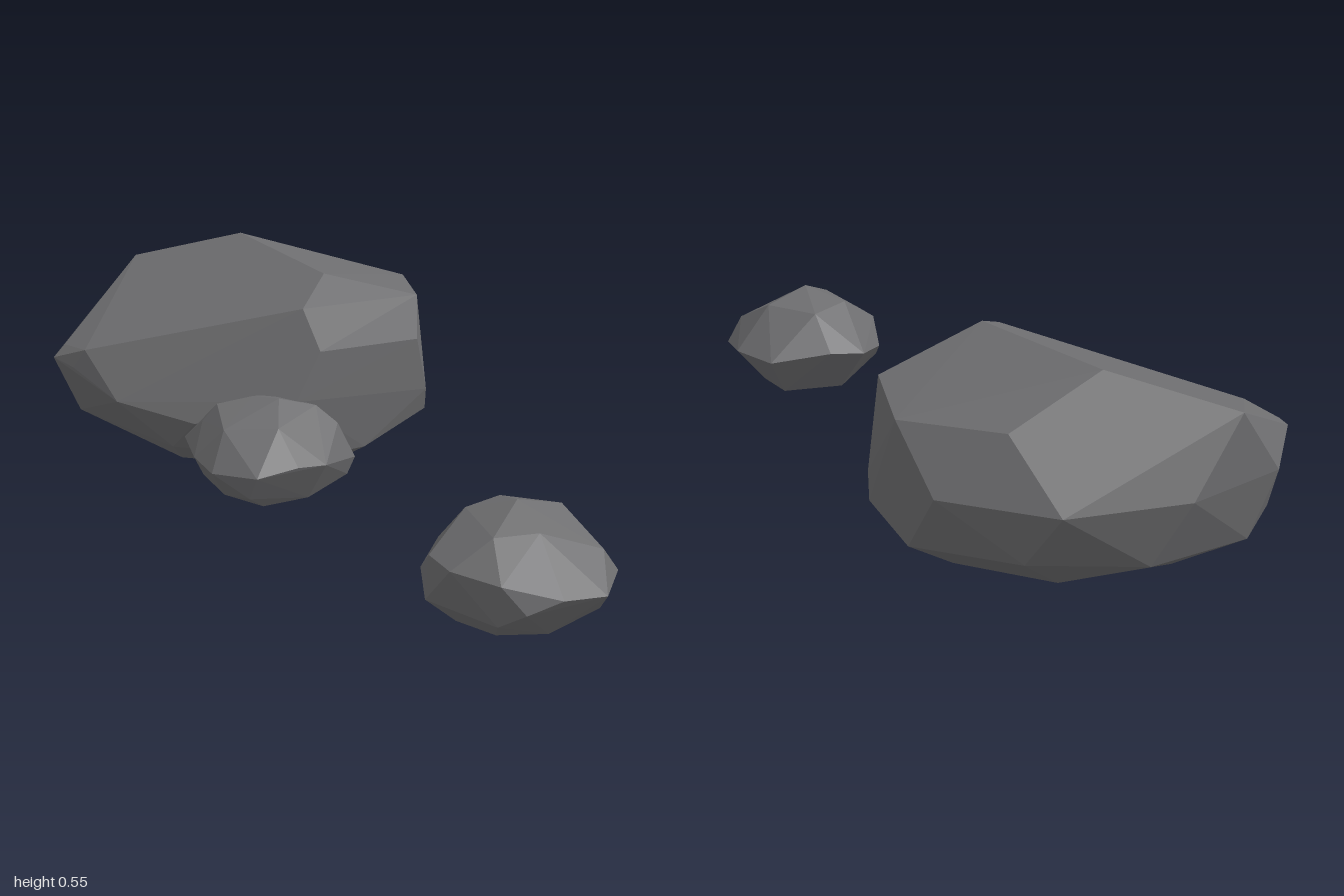
import * as THREE from 'three';
import { ConvexGeometry } from 'three/addons/geometries/ConvexGeometry.js';

const stone = new THREE.MeshStandardMaterial({ color: 0x6e6e70 });
stone.name = 'grey stone';

// A faceted rock: the convex hull of its corner points, kept flat shaded.
function rock(name, corners) {
  const geometry = new ConvexGeometry(corners.map((c) => new THREE.Vector3(...c)));
  const mesh = new THREE.Mesh(geometry, stone);
  mesh.name = name;
  return mesh;
}

export function createModel() {
  const group = new THREE.Group();
  group.name = 'rocks';

  group.add(rock('largeBoulder', [
    // sloping top
    [-0.82, 0.46, -0.71], [-0.48, 0.55, -0.72], [-0.11, 0.545, -0.33],
    [-0.12, 0.49, -0.14], [-0.78, 0.317, -0.145], [-0.88, 0.3, -0.24],
    // upper shoulders
    [-0.05, 0.39, -0.07], [0.12, 0.445, -0.53], [0.01, 0.425, -0.82], [-0.28, 0.43, -0.89],
    // widest ring
    [-0.1, 0.26, 0], [-0.4, 0.17, 0], [-0.65, 0.2, -0.05], [-0.82, 0.26, -0.15],
    [-0.9, 0.27, -0.2], [-0.9, 0.27, -0.56], [-0.72, 0.27, -0.84], [-0.43, 0.265, -1],
    [-0.11, 0.27, -0.94], [0.145, 0.34, -0.43], [0.16, 0.17, -0.49],
    // lower ring
    [0.15, 0.1, -0.52], [0.02, 0.04, -0.3], [-0.1, 0.06, -0.1], [-0.5, 0.06, -0.1],
    [-0.86, 0.08, -0.3], [-0.83, 0.09, -0.58], [-0.62, 0.1, -0.84], [-0.33, 0.12, -0.94],
    [-0.02, 0.1, -0.82],
    // base
    [-0.05, 0, -0.3], [-0.15, 0, -0.18], [-0.5, 0, -0.18], [-0.66, 0, -0.32],
    [-0.64, 0, -0.56], [-0.38, 0, -0.74], [-0.1, 0, -0.66],
  ]));

  group.add(rock('smallFrontRock', [
    // crown
    [-0.14, 0.28, 0.04], [-0.22, 0.275, 0.02], [-0.05, 0.25, -0.02], [-0.32, 0.25, 0.04],
    [-0.26, 0.22, 0.17], [-0.11, 0.23, 0.15], [-0.19, 0.25, -0.08],
    // widest ring
    [-0.43, 0.13, 0], [-0.36, 0.2, 0.05], [-0.35, 0.13, 0.16], [-0.27, 0.12, 0.25],
    [-0.13, 0.13, 0.29], [-0.04, 0.14, 0.2], [0.02, 0.13, 0.13], [0.01, 0.2, -0.03],
    [0.05, 0.09, -0.07], [-0.03, 0.17, -0.1], [-0.22, 0.14, -0.15], [-0.36, 0.14, -0.11],
    // base
    [-0.16, 0.06, 0.26], [-0.36, 0.04, 0.05], [-0.27, 0.02, 0.14], [-0.14, 0.02, 0.2],
    [-0.04, 0.02, 0.1], [0.03, 0.04, -0.06], [-0.06, 0.02, -0.13], [-0.27, 0.02, -0.1],
  ]));

  group.add(rock('smallLoneRock', [
    // crown
    [0.66, 0.32, 0.76], [0.53, 0.28, 0.74], [0.59, 0.27, 0.61], [0.75, 0.28, 0.65],
    [0.73, 0.27, 0.84], [0.63, 0.27, 0.9],
    // widest ring
    [0.7, 0.14, 0.49], [0.53, 0.16, 0.56], [0.44, 0.15, 0.62], [0.43, 0.13, 0.78],
    [0.47, 0.2, 0.87], [0.54, 0.2, 0.96], [0.67, 0.19, 1], [0.81, 0.15, 0.95],
    [0.9, 0.14, 0.87], [0.87, 0.21, 0.75], [0.9, 0.14, 0.7], [0.83, 0.15, 0.57],
    [0.73, 0.12, 0.99],
    // lower ring and base
    [0.46, 0.08, 0.86], [0.87, 0.07, 0.78], [0.66, 0.08, 0.98], [0.53, 0.02, 0.69],
    [0.53, 0.02, 0.83], [0.64, 0.02, 0.89], [0.76, 0.02, 0.85], [0.79, 0.02, 0.72],
    [0.69, 0.02, 0.6],
  ]));

  return group;
}
